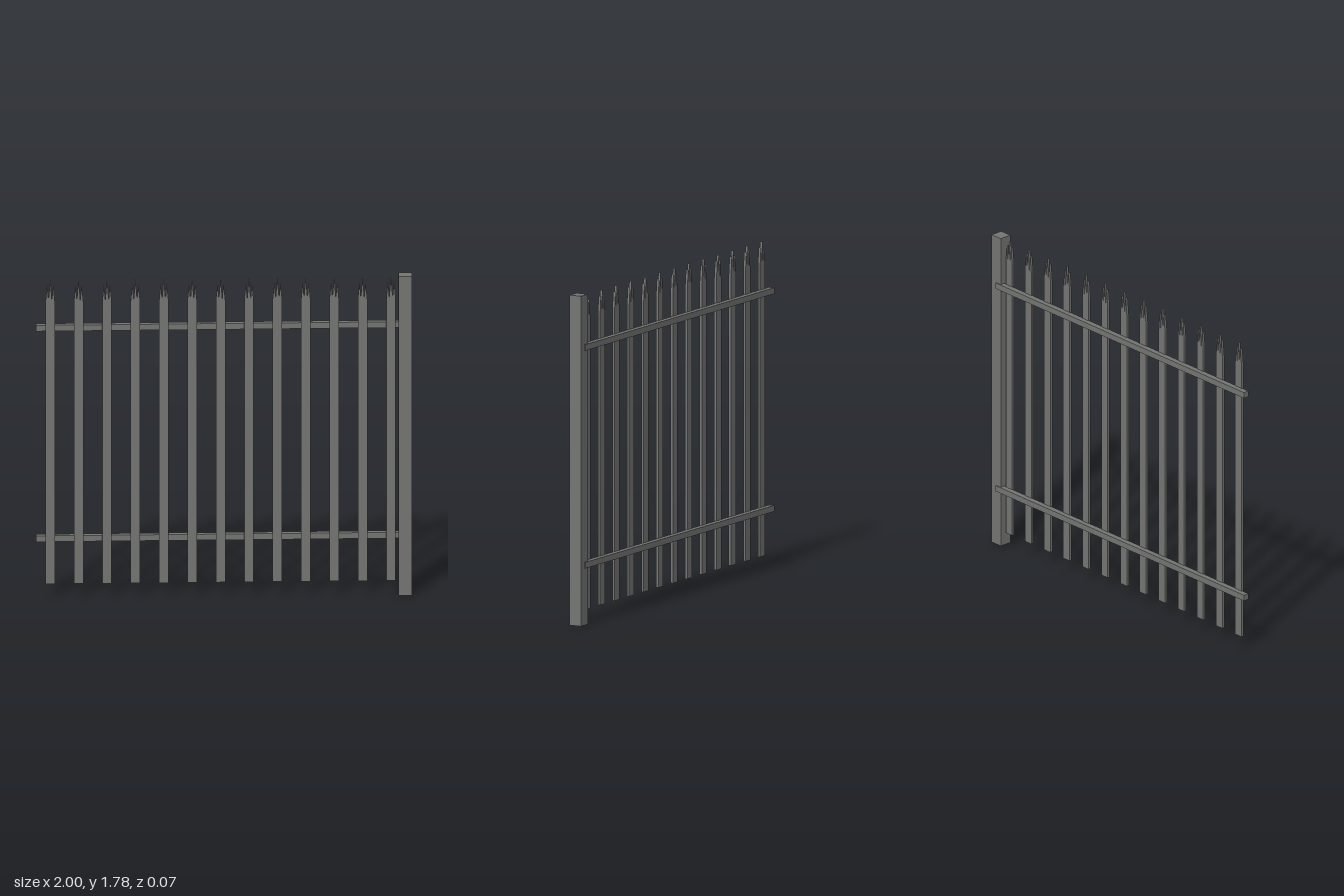
import * as THREE from 'three';

const steel = new THREE.MeshStandardMaterial({ color: 0x757774 });
steel.name = 'grey steel';

// Box given by its minimum and maximum corners
function block(name, [x0, y0, z0], [x1, y1, z1]) {
  const geo = new THREE.BoxGeometry(x1 - x0, y1 - y0, z1 - z0);
  geo.translate((x0 + x1) / 2, (y0 + y1) / 2, (z0 + z1) / 2);
  const mesh = new THREE.Mesh(geo, steel);
  mesh.name = name;
  return mesh;
}

// Flat pale with a three-pronged tip
function paleGeometry() {
  const w = 0.025;
  const outline = [
    [-w, 0.075], [w, 0.075], [w, 1.65], [0.016, 1.745], [0.009, 1.66],
    [0, 1.775], [-0.009, 1.66], [-0.016, 1.745], [-w, 1.65],
  ].map(([x, y]) => new THREE.Vector2(x, y));
  const geo = new THREE.ExtrudeGeometry(new THREE.Shape(outline), { depth: 0.014, bevelEnabled: false });
  geo.translate(0, 0, -0.009);
  return geo;
}

export function createModel() {
  const fence = new THREE.Group();
  fence.name = 'fencePanel';

  // End post
  fence.add(block('post', [0.928, 0, -0.032], [1, 1.785, 0.037]));

  // Rails behind the pales, running onto the post
  fence.add(block('lowerRail', [-1, 0.308, -0.037], [0.963, 0.341, -0.005]));
  fence.add(block('upperRail', [-1, 1.485, -0.037], [0.963, 1.518, -0.005]));

  // Thirteen evenly spaced pales
  const geo = paleGeometry();
  for (let i = 0; i < 13; i++) {
    const pale = new THREE.Mesh(geo, steel);
    pale.name = `pale${i + 1}`;
    pale.position.x = -0.925 + i * 0.1511;
    fence.add(pale);
  }
  return fence;
}
